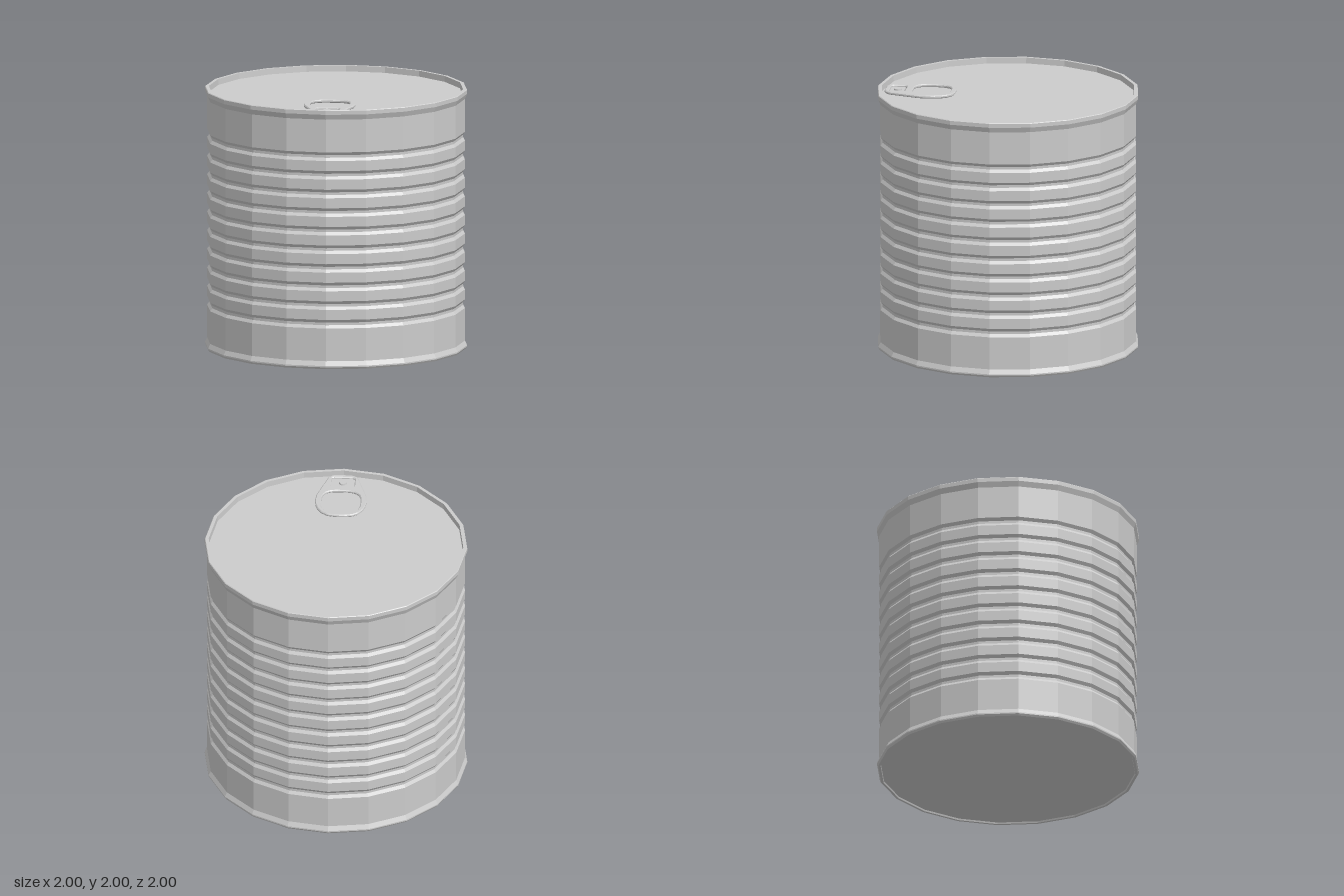
import * as THREE from 'three';

const SIDES = 20;
const LID_Y = 1.955;
const material = new THREE.MeshStandardMaterial({ color: 0xcccccc, flatShading: true });

function addMesh(parent, name, geometry) {
  const mesh = new THREE.Mesh(geometry, material);
  mesh.name = name;
  parent.add(mesh);
  return mesh;
}

// Flat plate drawn in (x, z), extruded upwards from height y
function plate(shape, y, height, bevel) {
  const geometry = new THREE.ExtrudeGeometry(shape, {
    depth: height - 2 * bevel,
    bevelEnabled: bevel > 0,
    bevelThickness: bevel,
    bevelSize: bevel,
    bevelOffset: -bevel,
    bevelSegments: 1,
    curveSegments: 6,
  });
  geometry.rotateX(-Math.PI / 2);
  geometry.translate(0, y + bevel, 0);
  return geometry;
}

// Closed can wall with end rims, ten grooves and sunken ends
function canGeometry() {
  const wall = 0.983, groove = 0.967;
  const profile = [[0, 0.012], [0.968, 0.012], [0.972, 0], [0.99, 0], [1, 0.015], [1, 0.025], [wall, 0.06]];
  for (let i = 0; i < 10; i++) {
    const y = 0.345 + i * 0.1437;
    profile.push([wall, y - 0.033], [groove, y - 0.01], [groove, y + 0.01], [wall, y + 0.033]);
  }
  profile.push([wall, 1.925], [1, 1.965], [1, 1.995], [0.995, 2], [0.97, 2], [0.968, LID_Y], [0, LID_Y]);
  return new THREE.LatheGeometry(profile.map(([r, y]) => new THREE.Vector2(r, y)), SIDES);
}

// Rectangle with rounded corners; y is the negative of z
function roundedRect(path, x, z0, z1, r) {
  path.moveTo(-x + r, -z1);
  path.lineTo(x - r, -z1);
  path.quadraticCurveTo(x, -z1, x, -z1 + r);
  path.lineTo(x, -z0 - r);
  path.quadraticCurveTo(x, -z0, x - r, -z0);
  path.lineTo(-x + r, -z0);
  path.quadraticCurveTo(-x, -z0, -x, -z0 - r);
  path.lineTo(-x, -z1 + r);
  path.quadraticCurveTo(-x, -z1, -x + r, -z1);
  return path;
}

// Egg-shaped ring pull outline with finger hole and rivet window
function tabShape() {
  const shape = new THREE.Shape();
  shape.moveTo(0.06, -0.94);
  shape.quadraticCurveTo(0.11, -0.93, 0.125, -0.87);
  shape.lineTo(0.19, -0.67);
  shape.bezierCurveTo(0.215, -0.54, 0.17, -0.4, 0.04, -0.4);
  shape.lineTo(-0.04, -0.4);
  shape.bezierCurveTo(-0.17, -0.4, -0.215, -0.54, -0.19, -0.67);
  shape.lineTo(-0.125, -0.87);
  shape.quadraticCurveTo(-0.11, -0.93, -0.06, -0.94);
  shape.closePath();
  shape.holes.push(roundedRect(new THREE.Path(), 0.15, 0.44, 0.73, 0.12));
  shape.holes.push(roundedRect(new THREE.Path(), 0.09, 0.785, 0.905, 0.025));
  return shape;
}

export function createModel() {
  const model = new THREE.Group();
  model.name = 'can';
  addMesh(model, 'canBody', canGeometry());

  // Ring pull lying on the lid
  const pull = new THREE.Group();
  pull.name = 'ringPull';
  model.add(pull);
  addMesh(pull, 'pullTab', plate(tabShape(), LID_Y + 0.004, 0.024, 0.007));
  addMesh(pull, 'rivetTongue', plate(roundedRect(new THREE.Shape(), 0.092, 0.795, 0.91, 0.025), LID_Y + 0.002, 0.012, 0));
  const rivet = addMesh(pull, 'rivet', new THREE.CylinderGeometry(0.028, 0.032, 0.024, 12));
  rivet.position.set(0, LID_Y + 0.014, 0.845);

  return model;
}
